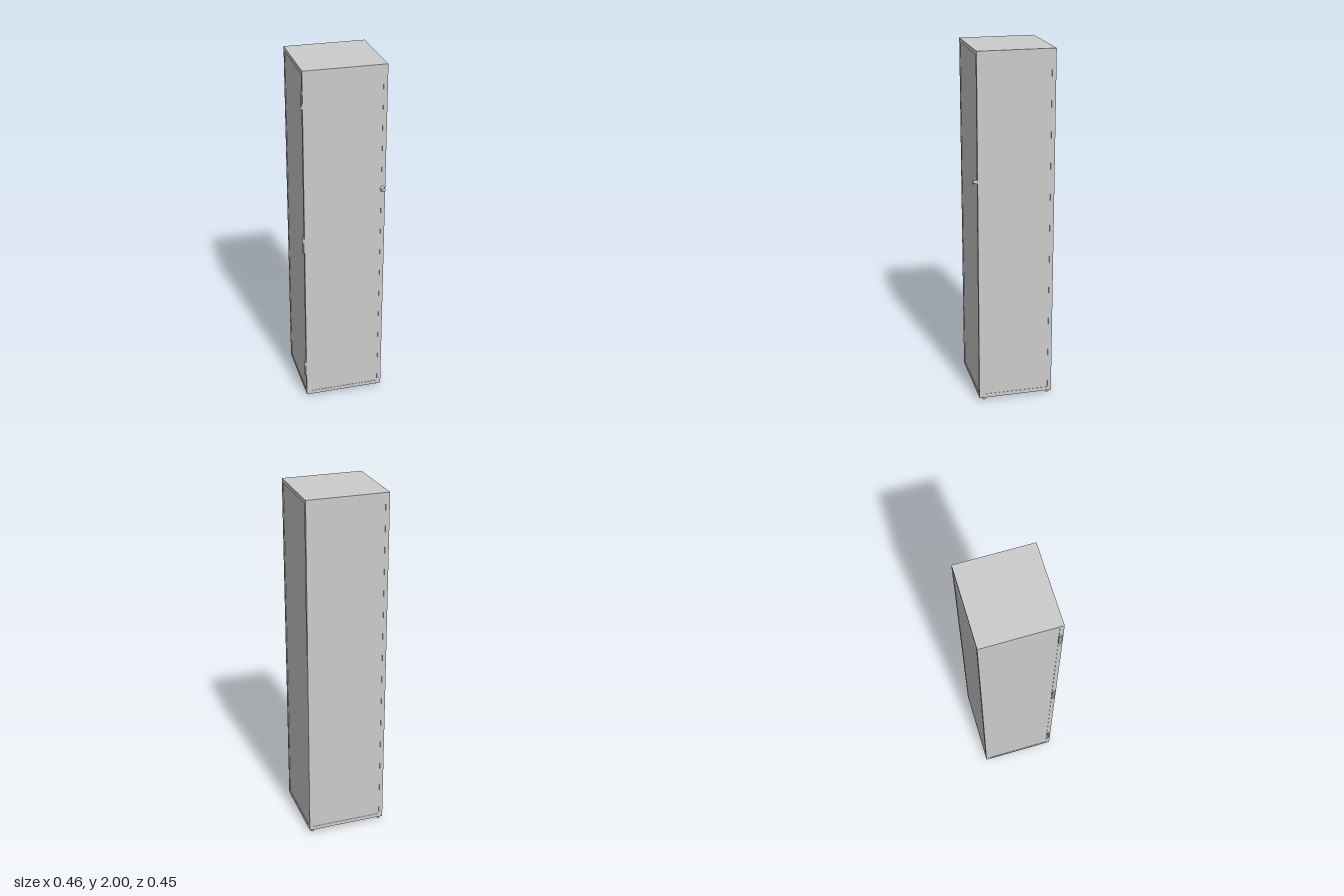
import * as THREE from 'three';

const grey = new THREE.MeshStandardMaterial({ color: 0xcccccc });

// Outer limits of the cabinet shell
const X0 = -0.222, X1 = 0.228, Y0 = 0.018, Y1 = 2, Z0 = -0.223, Z1 = 0.2;
const CX = (X0 + X1) / 2, CY = (Y0 + Y1) / 2, CZ = (Z0 + Z1) / 2;
const W = X1 - X0, H = Y1 - Y0, D = Z1 - Z0;
const STEP = 0.002; // depth of the panels behind the frames
const RIM = 0.014;  // depth of the recess underneath

function add(parent, name, geometry, x, y, z) {
  const mesh = new THREE.Mesh(geometry, grey);
  mesh.name = name;
  mesh.position.set(x, y, z);
  parent.add(mesh);
  return mesh;
}

// Rectangular border, centred, extruded along +z
function frame(w, h, border, depth) {
  const rect = (T, a, b) => {
    const s = new T();
    s.moveTo(-a, -b).lineTo(a, -b).lineTo(a, b).lineTo(-a, b).closePath();
    return s;
  };
  const shape = rect(THREE.Shape, w / 2, h / 2);
  shape.holes.push(rect(THREE.Path, w / 2 - border, h / 2 - border));
  return new THREE.ExtrudeGeometry(shape, { depth, bevelEnabled: false });
}

export function createModel() {
  const locker = new THREE.Group();
  locker.name = 'locker';

  // Main body, topped by a flat cover
  add(locker, 'body', new THREE.BoxGeometry(W - 2 * STEP, H - RIM - STEP, D - 2 * STEP),
    CX, (Y0 + RIM + Y1 - STEP) / 2, CZ);
  add(locker, 'topCover', new THREE.BoxGeometry(W, STEP * 2, D), CX, Y1 - STEP, CZ);

  // Raised borders around door, back and sides
  add(locker, 'doorFrame', frame(W, H, 0.022, STEP), CX, CY, Z1 - STEP);
  add(locker, 'backFrame', frame(W, H, 0.022, STEP), CX, CY, Z0);
  for (const [name, x] of [['leftFrame', X1 - STEP], ['rightFrame', X0]]) {
    add(locker, name, frame(D, H, 0.022, STEP), x, CY, CZ).rotation.y = Math.PI / 2;
  }

  // Rim around the recessed underside
  add(locker, 'bottomRim', frame(W, D, 0.026, RIM), CX, Y0, CZ).rotation.x = -Math.PI / 2;

  // Feet
  for (const x of [-0.203, 0.207]) {
    for (const z of [0.17, -0.204]) {
      add(locker, 'foot', new THREE.CylinderGeometry(0.012, 0.009, 0.018, 16), x, 0.009, z);
    }
  }

  // Door hinges: barrel with a small leaf
  for (const y of [0.2, 1.01, 1.84]) {
    const hinge = new THREE.Group();
    hinge.name = 'hinge';
    hinge.position.set(-0.225, y, 0.185);
    add(hinge, 'hingeBarrel', new THREE.CylinderGeometry(0.006, 0.006, 0.1, 12), 0, 0, 0);
    add(hinge, 'hingeLeaf', new THREE.BoxGeometry(0.006, 0.085, 0.02), 0.002, 0, 0.002);
    locker.add(hinge);
  }

  // Door knob, tapering to a flat grip
  const profile = [[0, 0], [0.014, 0], [0.014, 0.003], [0.01, 0.006], [0.009, 0.018],
    [0.011, 0.019], [0.011, 0.024], [0, 0.024]].map(([r, h]) => new THREE.Vector2(r, h));
  const knob = add(locker, 'knob', new THREE.LatheGeometry(profile, 20), 0.212, 1.304, Z1 - 0.001);
  knob.rotation.x = Math.PI / 2;

  return locker;
}
